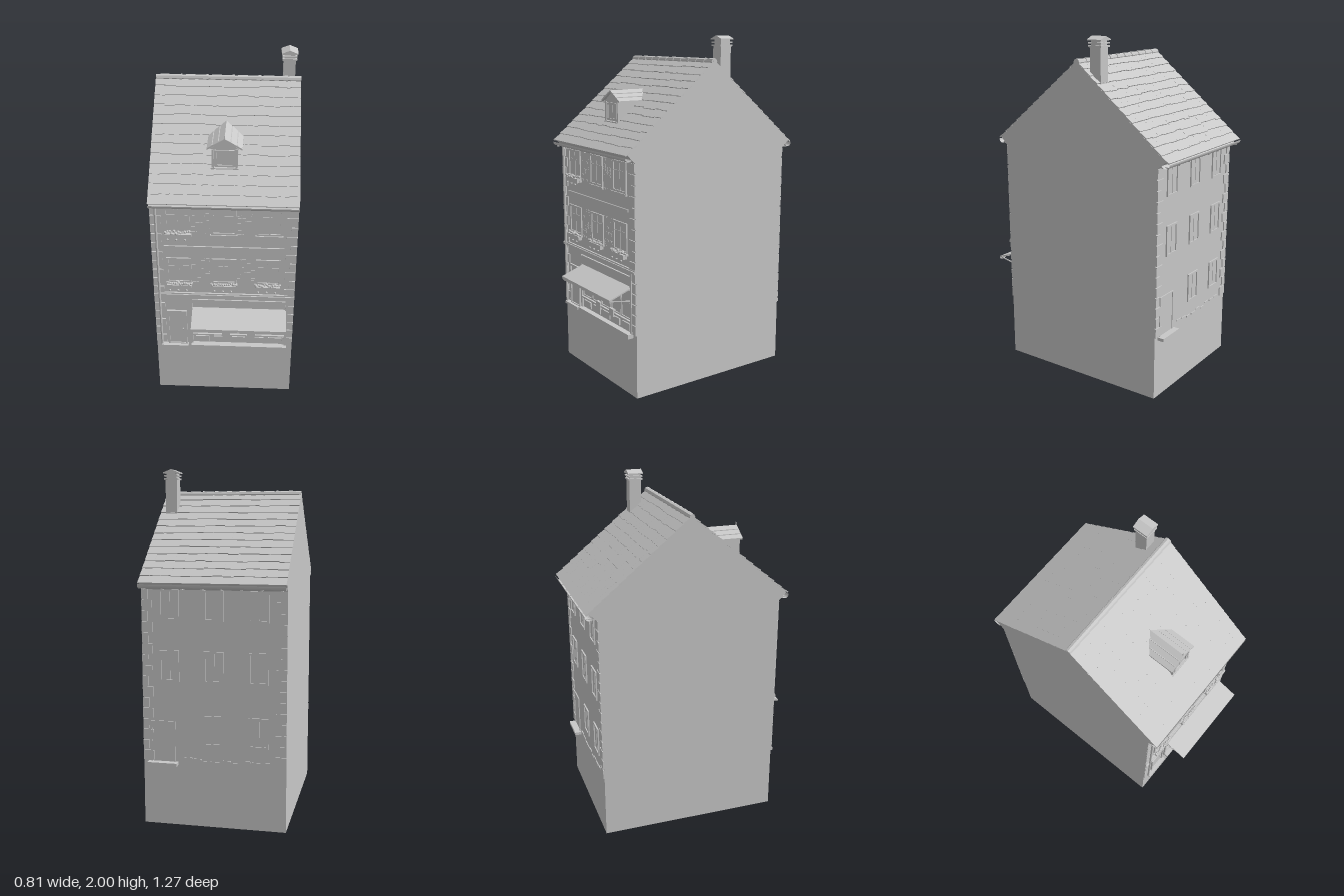
import * as THREE from 'three';
import { mergeGeometries } from 'three/addons/utils/BufferGeometryUtils.js';

const plaster = new THREE.MeshStandardMaterial({ color: 0xc8c8c8, flatShading: true, side: THREE.DoubleSide });
plaster.name = 'plain grey';

let seed = 7;
const rnd = () => (seed = (seed * 16807) % 2147483647) / 2147483647;

function mesh(name, parent, geo) {
  const m = new THREE.Mesh(geo, plaster);
  m.name = name;
  parent.add(m);
  return m;
}
const boxGeo = (x0, x1, y0, y1, z0, z1) =>
  new THREE.BoxGeometry(x1 - x0, y1 - y0, z1 - z0).translate((x0 + x1) / 2, (y0 + y1) / 2, (z0 + z1) / 2);
const box = (name, parent, ...b) => mesh(name, parent, boxGeo(...b));
function group(name, parent) {
  const g = new THREE.Group();
  g.name = name;
  parent.add(g);
  return g;
}
// Polygon extruded along x; points are [z, y]
function prismX(pts, x0, x1) {
  const s = new THREE.Shape(pts.map(([z, y]) => new THREE.Vector2(-z, y)));
  return new THREE.ExtrudeGeometry(s, { depth: x1 - x0, bevelEnabled: false }).rotateY(Math.PI / 2).translate(x0, 0, 0);
}
// Polygon extruded along z; points are [x, y]
function prismZ(pts, z0, z1) {
  const s = new THREE.Shape(pts.map(([x, y]) => new THREE.Vector2(x, y)));
  return new THREE.ExtrudeGeometry(s, { depth: z1 - z0, bevelEnabled: false }).translate(0, 0, z0);
}
function frameGeo(x0, x1, y0, y1, t, z0, z1) {
  return mergeGeometries([
    boxGeo(x0, x0 + t, y0, y1, z0, z1), boxGeo(x1 - t, x1, y0, y1, z0, z1),
    boxGeo(x0 + t, x1 - t, y1 - t, y1, z0, z1), boxGeo(x0 + t, x1 - t, y0, y0 + t, z0, z1)]);
}

// Casement window with frame, centre bar, crossbar and optional sill
function windowAt(parent, x, y0, y1, w, sill) {
  const g = group('window', parent), h = w / 2;
  mesh('windowFrame', g, frameGeo(x - h, x + h, y0, y1, 0.011, 0, 0.008));
  box('windowPane', g, x - h + 0.01, x + h - 0.01, y0 + 0.01, y1 - 0.01, -0.002, 0.0015);
  box('windowBar', g, x - 0.004, x + 0.004, y0 + 0.01, y1 - 0.01, 0, 0.004);
  if (sill) {
    box('crossBar', g, x - h + 0.01, x + h - 0.01, y1 - 0.06, y1 - 0.054, 0, 0.004);
    box('windowSill', g, x - h - 0.006, x + h + 0.006, y0 - 0.012, y0, 0, 0.014);
  }
}

// Flower trough with small plants
function flowerBox(parent, x, y) {
  const g = group('flowerBox', parent);
  box('trough', g, x - 0.07, x + 0.07, y, y + 0.025, 0.005, 0.03);
  const plants = [];
  for (let i = 0; i < 12; i++) {
    plants.push(new THREE.IcosahedronGeometry(0.007 + rnd() * 0.004, 0)
      .translate(x - 0.066 + i * 0.012, y + 0.027 + rnd() * 0.01, 0.012 + rnd() * 0.014));
    if (i % 4 === 1) plants.push(new THREE.IcosahedronGeometry(0.007, 0).translate(x - 0.066 + i * 0.012, y - 0.012, 0.026));
  }
  mesh('flowers', g, mergeGeometries(plants));
}

// Alternating corner stones at both ends of a facade
function quoins(parent) {
  const list = [], n = 16, h = 0.97 / n;
  for (const s of [-1, 1]) for (let i = 0; i < n; i++) {
    const w = i % 2 ? 0.035 : 0.06, y = 0.37 + i * h, a = s * 0.405, b = s * (0.405 - w);
    list.push(boxGeo(Math.min(a, b), Math.max(a, b), y + 0.003, y + h - 0.003, 0, 0.007));
  }
  mesh('cornerStones', parent, mergeGeometries(list));
}

// Rows of overlapping roof tiles below the ridge
function roofSlope(parent, run, rise) {
  const g = group('roofSlope', parent), len = Math.hypot(run, rise), rows = 13, cols = 14;
  g.rotation.x = Math.atan2(rise, run);
  const step = len / rows, w = 0.81 / cols, tiles = [];
  for (let r = 0; r < rows; r++) for (let c = 0; c < cols; c++) {
    const end = (r + 1) * step + (r === rows - 1 ? 0 : (rnd() - 0.5) * 0.009);
    tiles.push(new THREE.BoxGeometry(w, 0.007, step + 0.01).translate(0, 0, -(step + 0.01) / 2)
      .rotateX(-0.09).translate(-0.405 + (c + 0.5) * w, 0.006, end));
  }
  mesh('roofTiles', g, mergeGeometries(tiles));
}

// Half-round gutter with brackets
function gutter(parent, z, y, r) {
  const g = group('gutter', parent);
  const trough = new THREE.CylinderGeometry(r, r, 0.81, 10, 1, true, -Math.PI / 2, Math.PI).rotateZ(Math.PI / 2);
  trough.rotateX(Math.PI / 2 - new THREE.Vector3(0, 0, 0).x);
  trough.computeBoundingBox();
  if (trough.boundingBox.max.y > 0.5 * r) trough.rotateX(Math.PI);
  trough.translate(0, y, z);
  mesh('gutterTrough', g, trough);
  for (let i = 0; i < 8; i++) {
    const x = -0.38 + i * 0.1086;
    box('gutterBracket', g, x - 0.005, x + 0.005, y - r - 0.004, y - r + 0.006, 0, z + 0.01);
  }
}

function frontFacade(g) {
  quoins(g);
  gutter(g, 0.042, 1.372, 0.023);
  for (const x of [-0.255, 0, 0.25]) {
    windowAt(g, x, 1.16, 1.335, 0.14, true);
    windowAt(g, x, 0.825, 0.995, 0.14, true);
    flowerBox(g, x, 0.795);
  }
  flowerBox(g, -0.255, 1.145);
  // Scattered bricks
  const bricks = [];
  for (let i = 0; i < 90; i++) {
    const x = [-0.13, 0.125][i % 2] + (Math.floor(rnd() * 4) - 1.5) * 0.026;
    const y = (i % 4 < 2 ? 0.82 : 1.15) + Math.floor(rnd() * 12) * 0.015;
    bricks.push(boxGeo(x - 0.011, x + 0.011, y, y + 0.011, 0, 0.002));
  }
  mesh('bricks', g, mergeGeometries(bricks));
  box('storeyBand', g, -0.335, 0.335, 1.063, 1.077, 0, 0.008);
  box('cornice', g, -0.405, 0.405, 0.727, 0.742, 0, 0.016);
  box('corniceLip', g, -0.405, 0.405, 0.742, 0.75, 0, 0.01);
  mesh('drainPipe', g, new THREE.CylinderGeometry(0.007, 0.007, 0.98, 8).translate(-0.372, 0.855, 0.015));

  // Entrance door
  const d = group('door', g);
  mesh('doorFrame', d, frameGeo(-0.335, -0.22, 0.36, 0.615, 0.01, 0, 0.012));
  box('doorLeaf', d, -0.325, -0.23, 0.365, 0.605, 0, 0.004);
  mesh('doorKnob', d, new THREE.SphereGeometry(0.005, 8, 6).translate(-0.245, 0.48, 0.009));
  box('doorStep', d, -0.375, -0.215, 0.35, 0.365, 0, 0.03);

  // Shop front with panes, panels and sign board
  const s = group('shopFront', g);
  mesh('shopFrame', s, frameGeo(-0.2, 0.37, 0.36, 0.725, 0.014, 0, 0.012));
  box('shopPlinth', s, -0.195, 0.37, 0.35, 0.375, 0, 0.034);
  box('signBoard', s, -0.185, 0.355, 0.65, 0.705, 0, 0.012);
  box('shopCounter', s, -0.186, 0.356, 0.435, 0.445, 0, 0.012);
  for (let i = 0; i < 5; i++) {
    const x = -0.182 + i * 0.108;
    mesh('shopPane', s, frameGeo(x, x + 0.104, 0.45, 0.62, 0.007, 0, 0.006));
    box('lowerPanel', s, x + 0.012, x + 0.092, 0.385, 0.425, 0, 0.008);
  }
  for (const x of [0.012, 0.16]) box('menuBoard', s, x - 0.023, x + 0.023, 0.42, 0.465, 0, 0.016);

  // Sloped awning with scalloped valance and arms
  const a = group('awning', g);
  mesh('awningCloth', a, prismX([[0, 0.637], [0, 0.645], [0.145, 0.595], [0.145, 0.587]], -0.185, 0.36));
  const edge = [[-0.185, 0.594]];
  for (let i = 0; i <= 40; i++) edge.push([-0.185 + i * 0.545 / 40, 0.575 + (i % 4 === 0 ? 0.005 : i % 4 === 2 ? -0.003 : 0)]);
  edge.push([0.36, 0.594]);
  mesh('valance', a, prismZ(edge, 0.14, 0.144));
  for (const x of [-0.175, 0.35])
    mesh('awningArm', a, prismX([[0, 0.556], [0, 0.563], [0.14, 0.59], [0.14, 0.584]], x - 0.003, x + 0.003));
}

function backFacade(g) {
  quoins(g);
  gutter(g, 0.05, 1.368, 0.025);
  for (const x of [-0.25, 0, 0.25]) {
    windowAt(g, x, 1.165, 1.335, 0.11, false);
    windowAt(g, x, 0.825, 1.0, 0.11, false);
    if (x >= 0) windowAt(g, x, 0.47, 0.64, 0.11, false);
  }
  const d = group('backDoor', g);
  mesh('backDoorFrame', d, frameGeo(-0.36, -0.22, 0.36, 0.6, 0.008, 0, 0.006));
  box('backDoorLeaf', d, -0.352, -0.228, 0.365, 0.595, 0, 0.002);
  box('backStep', d, -0.375, -0.205, 0.35, 0.368, 0, 0.04);
  // Worn stone course near the ground
  for (let i = 0; i < 9; i++) {
    const x = -0.17 + i * 0.055, y = 0.37 + rnd() * 0.02;
    box('footStone', g, x, x + 0.045, y, y + 0.008, 0, 0.005);
  }
}

function dormer(parent) {
  const g = group('dormer', parent);
  box('dormerBody', g, -0.07, 0.07, 1.5, 1.64, 0.2, 0.38);
  mesh('dormerGable', g, prismZ([[-0.08, 1.63], [0.08, 1.63], [0, 1.685]], 0.18, 0.383));
  // Roof planes cut back where they meet the main slope
  for (const s of [-1, 1]) {
    const roof = prismZ([[0, 1.697], [s * 0.095, 1.64], [s * 0.095, 1.63], [0, 1.687]], 0.165, 0.395);
    const p = roof.attributes.position;
    for (let i = 0; i < p.count; i++)
      if (p.getZ(i) < 0.2) p.setZ(i, 0.165 + Math.abs(p.getX(i)) * 0.63);
    roof.computeVertexNormals();
    mesh('dormerRoof', g, roof);
    box('dormerPost', g, s * 0.064 - 0.006, s * 0.064 + 0.006, 1.5, 1.63, 0.375, 0.388);
    for (let i = 1; i < 3; i++) {
      const x = s * i * 0.033, y = 1.697 - i * 0.0198;
      box('roofSeam', g, x - 0.002, x + 0.002, y - 0.004, y + 0.003, 0.18 + i * 0.02, 0.393);
    }
  }
  const w = group('dormerWindow', g);
  w.position.z = 0.38;
  windowAt(w, 0, 1.525, 1.625, 0.106, false);
  box('dormerSill', g, -0.075, 0.075, 1.508, 1.52, 0.37, 0.393);
  mesh('finial', g, new THREE.ConeGeometry(0.005, 0.035, 6).translate(0, 1.708, 0.39));
}

function chimney(parent) {
  const g = group('chimney', parent), x = 0.34, z = -0.14;
  box('chimneyShaft', g, x - 0.034, x + 0.034, 1.7, 1.945, z - 0.036, z + 0.036);
  box('chimneyCollar', g, x - 0.041, x + 0.041, 1.94, 1.95, z - 0.043, z + 0.043);
  box('chimneyNeck', g, x - 0.03, x + 0.03, 1.95, 1.985, z - 0.032, z + 0.032);
  box('chimneyPlate', g, x - 0.041, x + 0.041, 1.958, 1.966, z - 0.043, z + 0.043);
  mesh('chimneyCap', g, prismZ([[x - 0.046, 1.976], [x + 0.046, 1.976], [x + 0.046, 1.982], [x, 2], [x - 0.046, 1.982]], z - 0.046, z + 0.046));
}

export function createModel() {
  const model = new THREE.Group();
  model.name = 'townHouse';
  mesh('houseBody', model, prismX([[0.49, 0], [0.49, 1.335], [0.538, 1.385], [-0.035, 1.858], [-0.612, 1.38], [-0.56, 1.335], [-0.56, 0]], -0.405, 0.405));

  const front = group('frontFacade', model);
  front.position.z = 0.49;
  frontFacade(front);
  const back = group('backFacade', model);
  back.position.z = -0.56;
  back.rotation.y = Math.PI;
  backFacade(back);

  // Roof, with overlapping caps along the ridge
  const roof = group('roof', model);
  roof.position.set(0, 1.858, -0.035);
  roofSlope(roof, 0.582, 0.48);
  const rear = group('rearRoof', roof);
  rear.rotation.y = Math.PI;
  roofSlope(rear, 0.59, 0.489);
  for (let i = 0; i < 11; i++)
    mesh('ridgeCap', roof, new THREE.CylinderGeometry(0.016, 0.02, 0.0736, 8).rotateZ(Math.PI / 2).translate(-0.368 + i * 0.0736, 0, 0));

  dormer(model);
  chimney(model);
  return model;
}
